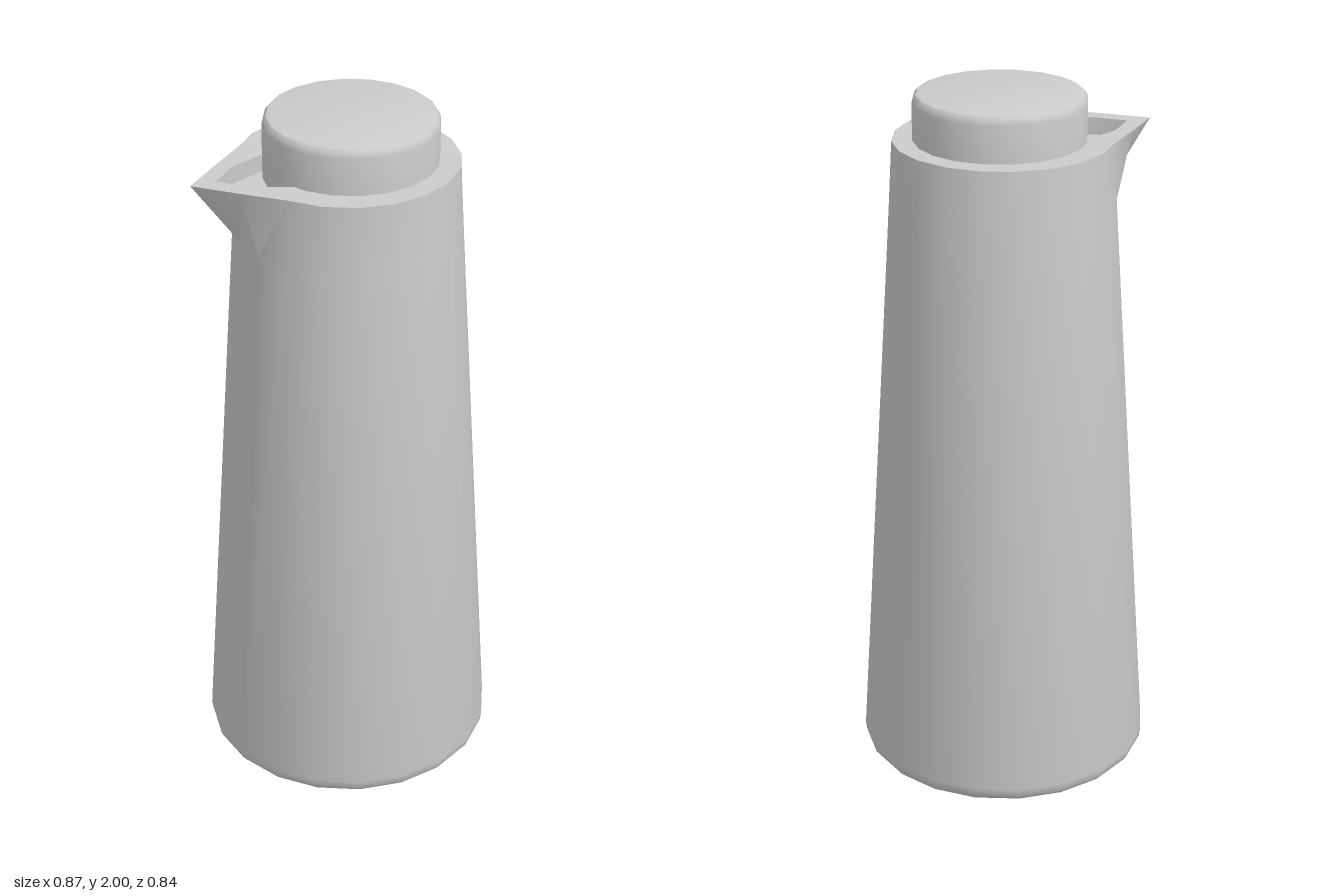
import * as THREE from 'three';
import { toCreasedNormals } from 'three/addons/utils/BufferGeometryUtils.js';

const SIDES = 20;
const SPOUT = SIDES / 2; // index of the corner pulled out into the spout tip
const material = new THREE.MeshStandardMaterial({ color: 0xcccccc });

// Horizontal ring of corners; tip and side override the spout corners as [x, z]
function ring(y, radius, tip, side) {
  const points = [];
  for (let i = 0; i < SIDES; i++) {
    const a = (i / SIDES) * Math.PI * 2;
    points.push([0.013 + radius * Math.cos(a), y, radius * Math.sin(a)]);
  }
  if (tip) {
    points[SPOUT] = [tip, y, 0];
    points[SPOUT - 1] = [side[0], y, side[1]];
    points[SPOUT + 1] = [side[0], y, -side[1]];
  }
  return points;
}

// Skin successive rings, with diagonals mirrored about the spout
function skin(rings) {
  const index = [];
  for (let r = 0; r < rings.length - 1; r++) {
    for (let j = 0; j < SIDES; j++) {
      const k = (j + 1) % SIDES;
      const a = r * SIDES + j, b = a + SIDES;
      const c = r * SIDES + k, d = c + SIDES;
      if (j < SPOUT) index.push(a, b, c, b, d, c);
      else index.push(a, b, d, a, d, c);
    }
  }
  const geometry = new THREE.BufferGeometry();
  geometry.setAttribute('position', new THREE.Float32BufferAttribute(rings.flat(2), 3));
  geometry.setIndex(index);
  return toCreasedNormals(geometry, 0.6);
}

export function createModel() {
  const group = new THREE.Group();
  const add = (name, geometry) => {
    const mesh = new THREE.Mesh(geometry, material);
    mesh.name = name;
    group.add(mesh);
    return mesh;
  };

  // Tapered body: base, rounded foot, wall, spout, flat rim and sunken pouring channel
  const innerSide = [-0.295, 0.067];
  add('body', skin([
    ring(0, 0),
    ring(0, 0.39),
    ring(0.006, 0.405),
    ring(0.02, 0.416),
    ring(0.045, 0.42),
    ring(1.68, 0.316),
    ring(1.87, 0.305, -0.437, [-0.335, 0.092]),
    ring(1.87, 0.21, -0.365, innerSide),
    ring(1.82, 0.21, -0.365, innerSide),
    ring(1.82, 0),
  ]));

  // Stopper with a softly rounded top edge
  const profile = [
    [0.24, 1.82], [0.24, 1.975], [0.237, 1.988], [0.229, 1.997], [0.217, 2], [0, 2],
  ].map(([x, y]) => new THREE.Vector2(x, y));
  const stopper = add('stopper', toCreasedNormals(
    new THREE.LatheGeometry(profile, SIDES, Math.PI / 2), 0.6));
  stopper.position.x = 0.022;

  return group;
}
